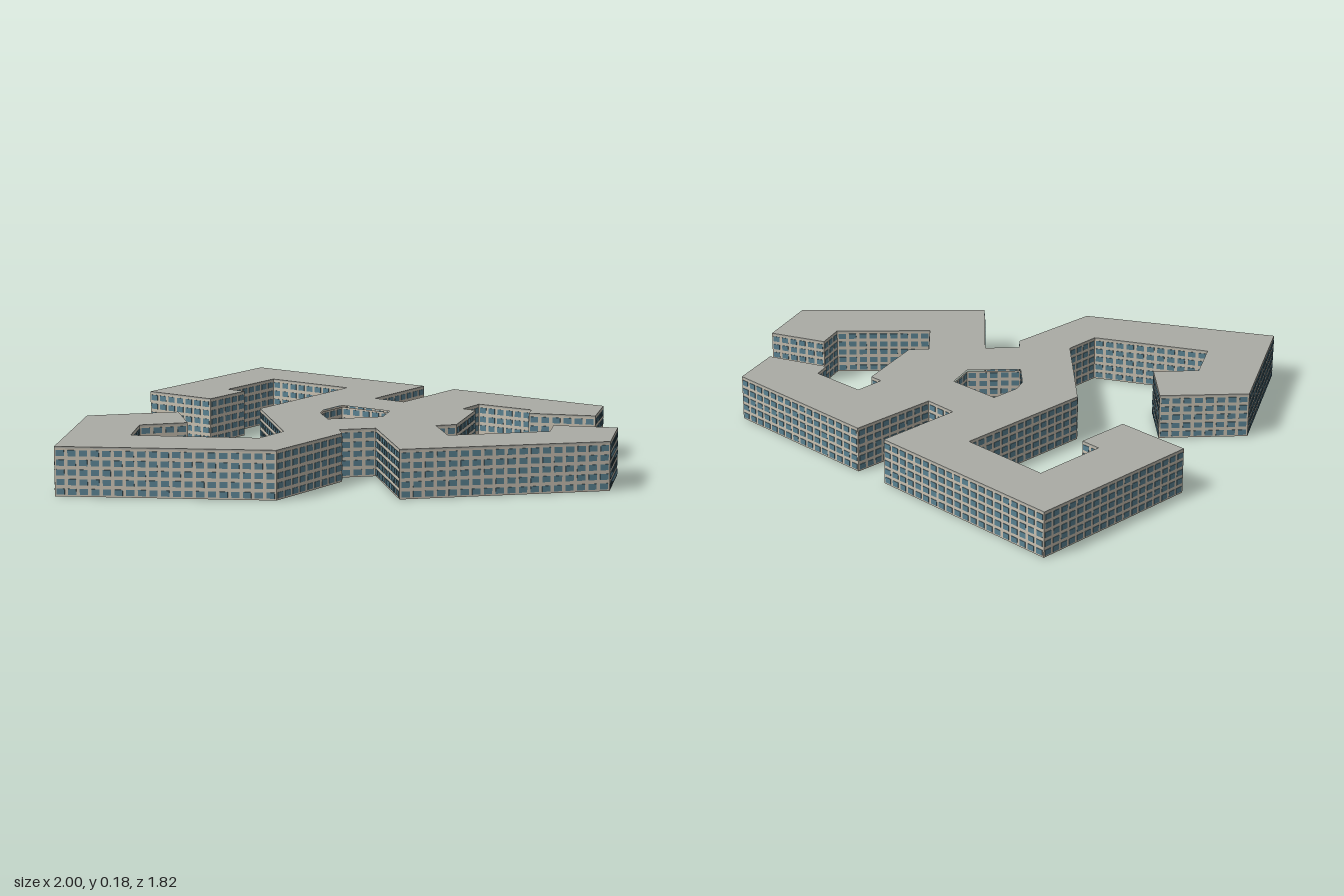
import * as THREE from 'three';
import { mergeGeometries } from 'three/addons/utils/BufferGeometryUtils.js';

const HEIGHT = 0.18, ROOF = 0.006, FLOORS = 5, BAY = 0.042;

// Plan corners as [x, z], clockwise from the back wing
const outline = [
  // back wing, inner side of its link, right-back wing
  [-0.465, -0.914], [0.25, -0.487], [0.07, -0.18], [0.187, -0.107],
  [0.374, -0.417], [0.963, -0.07], [0.925, 0.15], [0.674, 0.112], [0.684, 0.037],
  [0.481, -0.075], [0.422, 0.032], [0.47, 0.06], [0.406, 0.364], [0.33, 0.39],
  // right-front wing
  [0.38, 0.578], [0.749, 0.476], [0.765, 0.353], [1, 0.385], [0.963, 0.658],
  [0.22, 0.856], [0.112, 0.46], [-0.02, 0.497], [-0.005, 0.567],
  // left-front wing
  [-0.21, 0.904], [-1, 0.888], [-0.995, 0.278], [-0.663, 0.171], [-0.594, 0.396],
  [-0.765, 0.455], [-0.765, 0.658], [-0.294, 0.679], [-0.22, 0.545],
  // return to the back wing
  [-0.358, 0.08], [-0.06, -0.422], [-0.38, -0.615], [-0.535, -0.353],
  [-0.465, -0.31], [-0.578, -0.123], [-0.84, -0.278],
];
const court = [
  [-0.048, -0.01], [0.144, 0.1], [0.123, 0.22], [-0.08, 0.283], [-0.118, 0.16], [-0.112, 0.096],
];

const toPoints = (plan) => plan.map(([x, z]) => new THREE.Vector2(x, -z));

function material(color, side = THREE.FrontSide) {
  return new THREE.MeshStandardMaterial({ color, side });
}

function addMesh(parent, name, geometry, mat) {
  const mesh = new THREE.Mesh(geometry, mat);
  mesh.name = name;
  parent.add(mesh);
  return mesh;
}

// Thin wall panels and a grid of windows along each edge of a closed plan
function facade(plan) {
  const walls = [], windows = [];
  plan.forEach(([x0, z0], i) => {
    const [x1, z1] = plan[(i + 1) % plan.length];
    const length = Math.hypot(x1 - x0, z1 - z0);
    const place = new THREE.Matrix4().makeRotationY(-Math.atan2(z1 - z0, x1 - x0));
    place.setPosition((x0 + x1) / 2, 0, (z0 + z1) / 2);

    const wallHeight = HEIGHT - ROOF;
    walls.push(new THREE.PlaneGeometry(length, wallHeight)
      .translate(0, wallHeight / 2, 0).applyMatrix4(place));

    // Windows pass through the wall so they show on both faces
    const bays = Math.max(1, Math.round(length / BAY));
    const bay = length / bays, storey = wallHeight / FLOORS;
    for (let b = 0; b < bays; b++) {
      for (let f = 0; f < FLOORS; f++) {
        windows.push(new THREE.BoxGeometry(bay * 0.7, storey * 0.62, 0.004)
          .translate((b + 0.5) * bay - length / 2, (f + 0.5) * storey, 0)
          .applyMatrix4(place));
      }
    }
  });
  return { walls: mergeGeometries(walls), windows: mergeGeometries(windows) };
}

export function createModel() {
  const model = new THREE.Group();
  model.name = 'wingedBuilding';
  const wallMat = material(0xc9c1b2, THREE.DoubleSide);
  const glassMat = material(0x5a8292);

  // Outer and courtyard facades
  for (const [name, plan] of [['outer', outline], ['courtyard', court]]) {
    const { walls, windows } = facade(plan);
    addMesh(model, name + 'Walls', walls, wallMat);
    addMesh(model, name + 'Windows', windows, glassMat);
  }

  // Flat roof slab pierced by the courtyard
  const roofShape = new THREE.Shape(toPoints(outline));
  roofShape.holes.push(new THREE.Path(toPoints(court)));
  const roof = new THREE.ExtrudeGeometry(roofShape, { depth: ROOF, bevelEnabled: false });
  roof.rotateX(-Math.PI / 2).translate(0, HEIGHT - ROOF, 0);
  addMesh(model, 'roof', roof, material(0xabaca5));

  // Courtyard paving with a small lawn
  const paving = new THREE.ShapeGeometry(new THREE.Shape(toPoints(court)));
  paving.rotateX(-Math.PI / 2).translate(0, 0.002, 0);
  addMesh(model, 'courtyardPaving', paving, material(0xb5b0a2, THREE.DoubleSide));
  addMesh(model, 'lawn', new THREE.BoxGeometry(0.068, 0.004, 0.044), material(0x64875a))
    .position.set(-0.002, 0.004, 0.15);

  return model;
}
